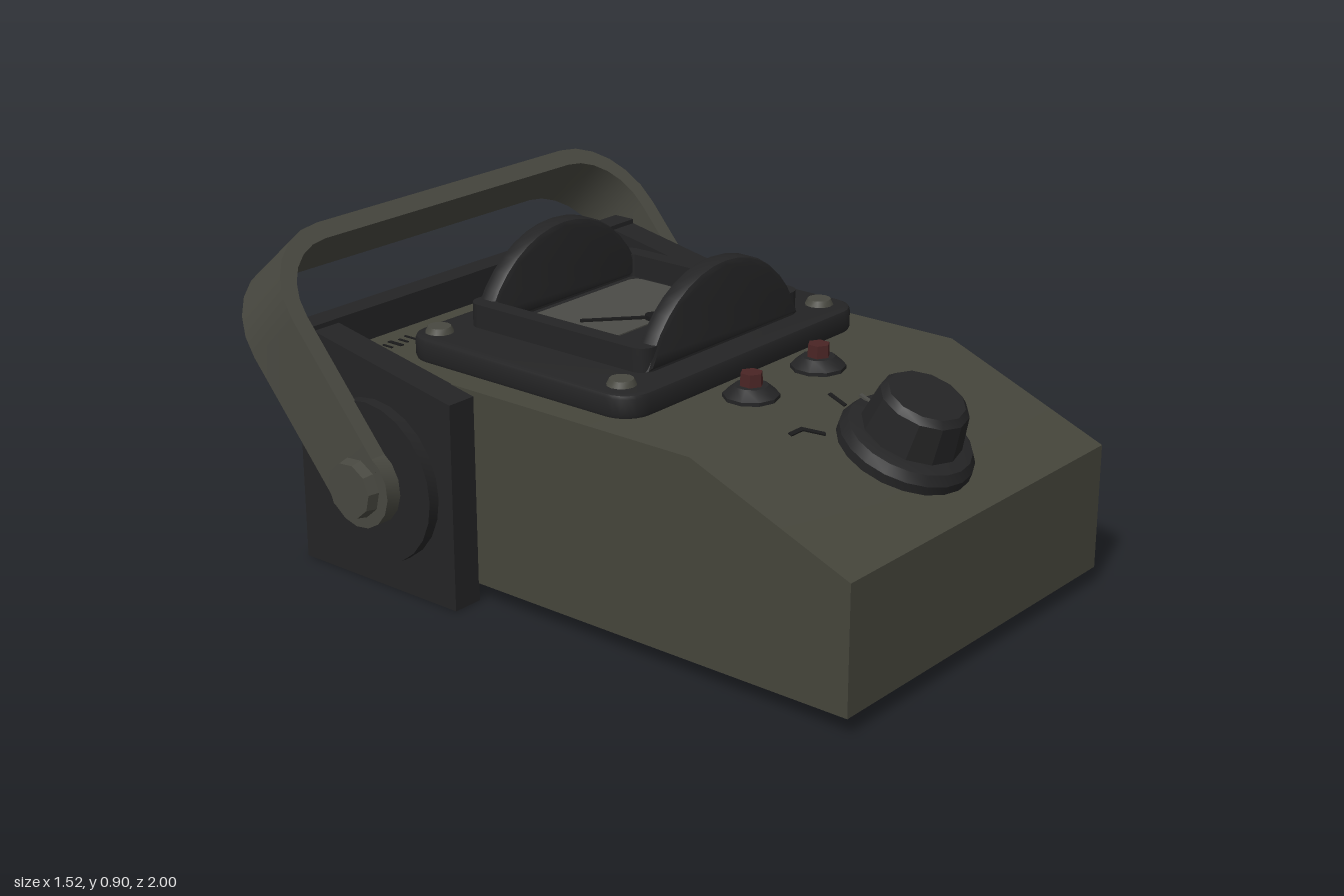
import * as THREE from 'three';
import { toCreasedNormals } from 'three/addons/utils/BufferGeometryUtils.js';

const material = (name, color) => Object.assign(new THREE.MeshStandardMaterial({ color }), { name });

export function createModel() {
  const root = new THREE.Group();
  root.name = 'fieldMeter';
  const olive = material('olive paint', 0x45453b);
  const handleOlive = material('handle olive', 0x484840);
  const dark = material('dark grey', 0x242425);
  const black = material('black marking', 0x1a1a1b);
  const red = material('dull red', 0x4a2424);
  const dialGrey = material('dial grey', 0x4b4b46);

  // Helpers
  const add = (name, geo, mat, x = 0, y = 0, z = 0, parent = root) => {
    const mesh = new THREE.Mesh(toCreasedNormals(geo, 0.5), mat);
    mesh.name = name;
    mesh.position.set(x, y, z);
    parent.add(mesh);
    return mesh;
  };
  const box = (w, h, d) => new THREE.BoxGeometry(w, h, d);
  const cyl = (top, bottom, h, n) => new THREE.CylinderGeometry(top, bottom, h, n).translate(0, h / 2, 0);
  const lathe = (pts, n) => new THREE.LatheGeometry(pts.map(p => new THREE.Vector2(...p)), n);
  const polygon = pts => new THREE.Shape(pts.map(p => new THREE.Vector2(...p)));
  const extrude = (shape, depth, curveSegments = 4, bevel = 0) => new THREE.ExtrudeGeometry(shape, {
    depth: depth - 2 * bevel, curveSegments, bevelEnabled: bevel > 0,
    bevelSize: bevel, bevelThickness: bevel, bevelOffset: -bevel, bevelSegments: 2,
  }).translate(0, 0, bevel);
  // Side profile given as (z, y), extruded across x and centred
  const sideProfile = (pts, width) => extrude(polygon(pts), width)
    .translate(0, 0, -width / 2).rotateY(-Math.PI / 2);
  const roundRect = (w, h, r, Kind = THREE.Shape) => {
    const s = new Kind(), a = w / 2, b = h / 2;
    s.moveTo(-a + r, -b).lineTo(a - r, -b);
    s.absarc(a - r, -b + r, r, -Math.PI / 2, 0).lineTo(a, b - r);
    s.absarc(a - r, b - r, r, 0, Math.PI / 2).lineTo(-a + r, b);
    s.absarc(-a + r, b - r, r, Math.PI / 2, Math.PI).lineTo(-a, -b + r);
    s.absarc(-a + r, -b + r, r, Math.PI, Math.PI * 1.5);
    return s;
  };
  const plate = (shape, h, bevel = 0) => extrude(shape, h, 3, bevel).rotateX(-Math.PI / 2);

  // Main case with sloping front panel
  add('case', sideProfile([[1, 0.05], [1, 0.4], [0.52, 0.59], [-0.7, 0.59], [-0.7, 0.05]], 1.125), olive);

  // Rear bracket: back plate and two cheeks
  add('bracketBack', box(1.3, 0.68, 0.07), dark, 0, 0.34, -0.725);
  for (const s of [-1, 1]) {
    add('bracketCheek', sideProfile([[-0.195, 0], [-0.195, 0.575], [-0.69, 0.667], [-0.69, 0]], 0.09), dark, s * 0.605);
    add('pivotDisc', cyl(0.225, 0.225, 0.035, 24).rotateZ(-s * Math.PI / 2), dark, s * 0.648, 0.303, -0.47);
  }

  // Tilted carrying handle
  const handle = new THREE.Group();
  handle.name = 'handle';
  handle.position.set(0, 0.305, -0.465);
  handle.rotation.x = -0.709;
  root.add(handle);
  const W = 0.73, T = 0.05, L = 0.694, R = 0.24;
  const u = new THREE.Shape();
  u.moveTo(W, 0).lineTo(W, L - R);
  u.absarc(W - R, L - R, R, 0, Math.PI / 2).lineTo(R - W, L);
  u.absarc(R - W, L - R, R, Math.PI / 2, Math.PI).lineTo(-W, 0);
  u.lineTo(T - W, 0).lineTo(T - W, L - R);
  u.absarc(R - W, L - R, R - T, Math.PI, Math.PI / 2, true).lineTo(W - R, L - T);
  u.absarc(W - R, L - R, R - T, Math.PI / 2, 0, true).lineTo(W - T, 0);
  add('handleBar', extrude(u, 0.213, 3).translate(0, 0, -0.1065), handleOlive, 0, 0, 0, handle);
  for (const s of [-1, 1]) {
    add('handleEnd', cyl(0.113, 0.113, 0.049, 16).rotateZ(-s * Math.PI / 2), handleOlive, s * 0.6805, 0, 0, handle);
    add('pivotCap', cyl(0.076, 0.083, 0.033, 10).rotateZ(-s * Math.PI / 2), handleOlive, s * 0.728, 0, 0, handle);
  }

  // Meter base plate and corner screws
  const mz = -0.125;
  add('meterBase', plate(roundRect(0.98, 0.79, 0.08), 0.067, 0.012), dark, 0, 0.588, mz);
  for (const x of [-0.415, 0.415]) for (const z of [-0.457, 0.18])
    add('screw', cyl(0.032, 0.04, 0.017, 12), handleOlive, x, 0.654, z);

  // Raised bezel with a rectangular opening and two arched guards
  const bezel = roundRect(0.66, 0.62, 0.04);
  bezel.holes.push(roundRect(0.56, 0.5, 0.01, THREE.Path));
  add('bezel', plate(bezel, 0.068), dark, 0, 0.652, mz - 0.003);
  const arch = new THREE.Shape();
  arch.absarc(0, 0.55, 0.333, 0.32, Math.PI - 0.32);
  for (const z of [0.125, -0.435]) add('archGuard', extrude(arch, 0.06, 8, 0.015), dark, 0, 0, z);

  // Dial face, lower cover and needle
  add('dialFace', plate(roundRect(0.52, 0.29, 0.03), 0.006), dialGrey, 0, 0.655, -0.205);
  add('dialCover', box(0.55, 0.008, 0.17), dark, 0, 0.659, 0.035);
  const needle = new THREE.Group();
  needle.name = 'needle';
  needle.position.set(0.015, 0.666, -0.075);
  needle.rotation.y = -0.72;
  root.add(needle);
  add('needlePointer', box(0.2, 0.006, 0.012), black, -0.1, 0, 0, needle);
  add('needleTail', box(0.1, 0.008, 0.028), black, 0.03, 0, 0, needle);
  add('needleHub', cyl(0.025, 0.025, 0.012, 10), black, 0, -0.005, 0, needle);

  // Two push buttons
  for (const x of [-0.143, 0.143]) {
    add('buttonCollar', lathe([[0.074, 0], [0.074, 0.012], [0.045, 0.036], [0, 0.036]], 10), dark, x, 0.588, 0.38);
    add('button', cyl(0.03, 0.032, 0.036, 6), red, x, 0.622, 0.38);
  }

  // Selector knob, square to the sloping panel
  const slope = Math.atan2(0.19, 0.48);
  const panel = new THREE.Group();
  panel.name = 'selector';
  panel.position.set(0, 0.497, 0.755);
  panel.rotation.x = slope;
  root.add(panel);
  add('knobSkirt', lathe([[0.18, -0.005], [0.18, 0.025], [0.165, 0.05], [0.135, 0.058], [0, 0.058]], 20), dark, 0, 0, 0, panel);
  add('knobGrip', lathe([[0.135, 0.05], [0.118, 0.155], [0.102, 0.172], [0, 0.172]], 12), dark, 0, 0, 0, panel);
  add('knobPointer', box(0.012, 0.006, 0.045), dialGrey, 0, 0.056, -0.148, panel);

  // Position marks around the knob
  add('markCentre', box(0.012, 0.006, 0.055), black, 0, 0.001, -0.225, panel);
  for (const s of [-1, 1]) {
    add('markOuter', box(0.05, 0.006, 0.012), black, s * 0.22, 0.001, -0.188, panel);
    add('markInner', box(0.065, 0.006, 0.012), black, s * 0.175, 0.001, -0.167, panel).rotation.y = s * 0.8;
  }

  // Row of fine graduation marks behind the meter, in two runs
  for (let i = 0; i < 36; i++) {
    const x = -0.52 + i * 0.0297;
    if (i % 5 === 1 || (x > -0.11 && x < 0.1)) continue;
    add('graduation', box(i % 3 ? 0.007 : 0.012, 0.004, i % 2 ? 0.05 : 0.035), black, x, 0.591, -0.61);
  }

  // Two rear sockets with nuts
  for (const x of [-0.183, 0.183]) {
    const nut = lathe([[0.175, 0], [0.175, 0.038], [0.155, 0.05], [0, 0.05]], 8).rotateY(Math.PI / 8);
    add('socketNut', nut.rotateX(-Math.PI / 2), dark, x, 0.338, -0.758);
    const ring = lathe([[0.122, 0], [0.122, 0.075], [0.105, 0.093], [0.068, 0.093], [0.06, 0.02], [0, 0.02]], 8);
    add('socket', ring.rotateY(Math.PI / 8).rotateX(-Math.PI / 2), red, x, 0.338, -0.807);
  }
  return root;
}
